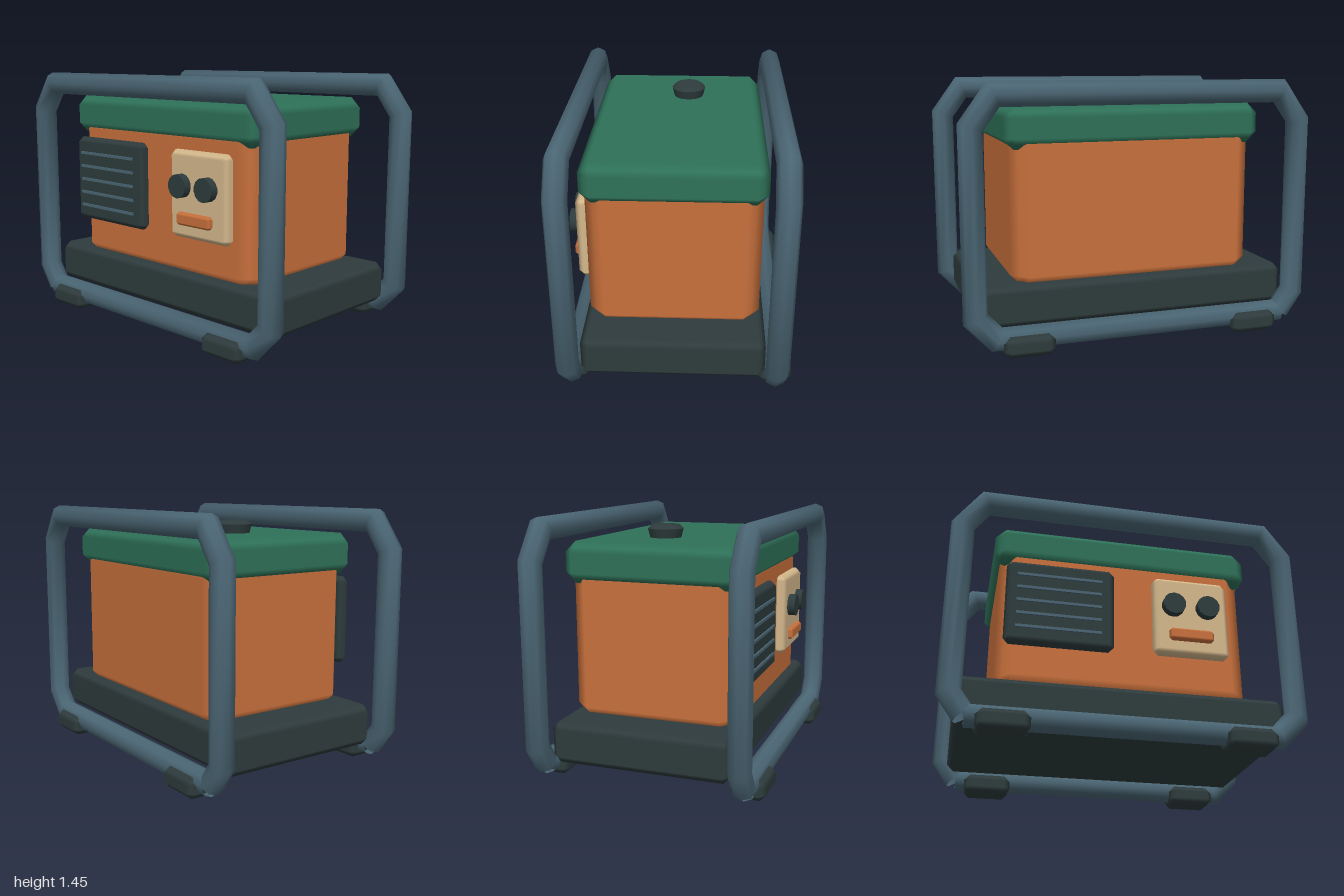
import * as THREE from 'three';

const mat = (name, color, side = THREE.FrontSide) => {
  const m = new THREE.MeshStandardMaterial({ color, side });
  m.name = name;
  return m;
};

// Box with 45-degree chamfers whose normals blend smoothly between the flat faces
function chamferBox(w, h, d, b) {
  const g = new THREE.BoxGeometry(1, 1, 1, 3, 3, 3);
  const half = [w / 2 - b, h / 2 - b, d / 2 - b];
  const pos = g.attributes.position, nor = g.attributes.normal;
  for (let i = 0; i < pos.count; i++) {
    const p = [pos.getX(i), pos.getY(i), pos.getZ(i)];
    const n = p.map(v => (Math.abs(v) > 0.49 ? Math.sign(v) : 0));
    const k = n.filter(v => v !== 0).length;
    pos.setXYZ(i, ...p.map((v, a) => Math.sign(v) * half[a] + (b * n[a]) / k));
    nor.setXYZ(i, ...n.map(v => v / Math.sqrt(k)));
  }
  return g;
}

// Round tube swept along points in the XY plane, with mitred bends and open ends
function bentTube(points, radius, sides) {
  const pts = points.map(p => new THREE.Vector2(...p));
  const position = [], normal = [], index = [];
  pts.forEach((p, i) => {
    const dirIn = p.clone().sub(pts[Math.max(i - 1, 0)]).normalize();
    const dirOut = pts[Math.min(i + 1, pts.length - 1)].clone().sub(p).normalize();
    const t = dirIn.clone().add(dirOut).normalize();
    const bend = i > 0 && i < pts.length - 1 ? 1 / t.dot(dirOut) : 1;
    for (let j = 0; j <= sides; j++) {
      const a = (j / sides) * Math.PI * 2, c = Math.cos(a), s = Math.sin(a);
      position.push(p.x + t.y * c * radius * bend, p.y - t.x * c * radius * bend, s * radius);
      normal.push(t.y * c, -t.x * c, s);
      if (i < pts.length - 1 && j < sides) {
        const q = i * (sides + 1) + j, r = q + sides + 1;
        index.push(q, r, q + 1, r, r + 1, q + 1);
      }
    }
  });
  const g = new THREE.BufferGeometry();
  g.setAttribute('position', new THREE.Float32BufferAttribute(position, 3));
  g.setAttribute('normal', new THREE.Float32BufferAttribute(normal, 3));
  g.setIndex(index);
  return g;
}

export function createModel() {
  const orange = mat('orange paint', 0xc8703c);
  const green = mat('green paint', 0x2e7158);
  const dark = mat('dark rubber', 0x2e3b3c);
  const steel = mat('blue grey steel', 0x4a6573, THREE.DoubleSide);
  const cream = mat('cream panel', 0xd4b88c);

  const model = new THREE.Group();
  model.name = 'generator';
  const add = (name, geometry, material, x, y, z, parent = model) => {
    const m = new THREE.Mesh(geometry, material);
    m.name = name;
    m.position.set(x, y, z);
    parent.add(m);
    return m;
  };

  // Base tray, housing and lid
  add('base', chamferBox(1.82, 0.235, 1.01, 0.04), dark, 0, 0.2325, 0);
  add('housing', chamferBox(1.42, 0.9, 0.95, 0.09), orange, 0, 0.745, 0);
  add('lid', chamferBox(1.49, 0.23, 0.99, 0.06), green, 0, 1.195, 0);

  // Fuel cap
  const capProfile = [[0.083, 1.29], [0.1, 1.36], [0.078, 1.382], [0, 1.382]];
  // each section is its own lathe so the rims stay crisp
  const cap = new THREE.Group();
  cap.name = 'fuelCap';
  cap.position.set(-0.33, 0, -0.05);
  model.add(cap);
  ['capSide', 'capBevel', 'capTop'].forEach((name, i) => {
    const section = capProfile.slice(i, i + 2).map(p => new THREE.Vector2(...p));
    add(name, new THREE.LatheGeometry(section, 16), dark, 0, 0, 0, cap);
  });

  // Tubular side frames with their feet
  const framePath = [
    [-0.85, 0.09], [0.823, 0.09], [0.935, 0.21], [0.935, 1.215],
    [0.815, 1.38], [-0.815, 1.38], [-0.935, 1.215], [-0.935, 0.21], [-0.85, 0.09],
  ];
  const frameGeometry = bentTube(framePath, 0.065, 8);
  const footGeometry = chamferBox(0.28, 0.115, 0.195, 0.035);
  for (const [side, z] of [['front', 0.57], ['back', -0.57]]) {
    add(side + 'Frame', frameGeometry, steel, 0, 0, z);
    add(side + 'LeftFoot', footGeometry, dark, 0.657, 0.0575, z);
    add(side + 'RightFoot', footGeometry, dark, -0.657, 0.0575, z);
  }

  // Vent with slats
  add('vent', chamferBox(0.61, 0.505, 0.08, 0.03), dark, -0.37, 0.8025, 0.495);
  const slat = new THREE.BoxGeometry(0.475, 0.016, 0.02);
  for (let i = 0; i < 5; i++) add('ventSlat', slat, steel, -0.378, 0.64 + i * 0.0805, 0.535);

  // Control panel with two knobs and a switch
  add('controlPanel', chamferBox(0.44, 0.485, 0.08, 0.03), cream, 0.38, 0.8025, 0.495);
  const knob = new THREE.CylinderGeometry(0.066, 0.066, 0.06, 14).rotateX(Math.PI / 2);
  for (const x of [0.272, 0.47]) add('knob', knob, dark, x, 0.855, 0.55);
  add('switch', chamferBox(0.255, 0.07, 0.05, 0.015), orange, 0.372, 0.675, 0.542);

  return model;
}
